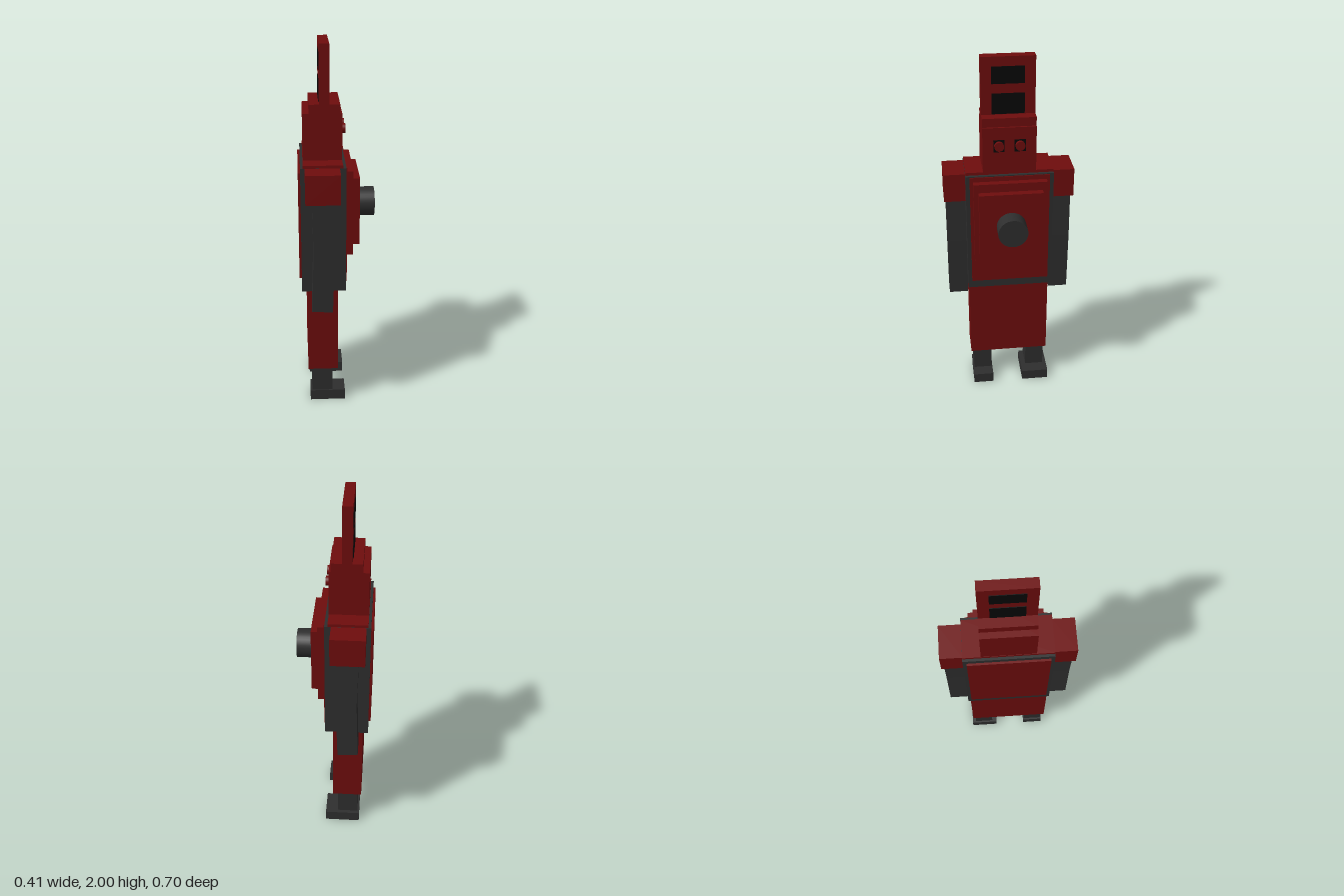
import * as THREE from 'three';

const red = new THREE.MeshStandardMaterial({ color: 0x6e0d0d });
red.name = 'dark red';
const grey = new THREE.MeshStandardMaterial({ color: 0x2e2e2e });
grey.name = 'charcoal';
const black = new THREE.MeshStandardMaterial({ color: 0x080808 });
black.name = 'black';

export function createModel() {
  const model = new THREE.Group();
  model.name = 'robot';

  const add = (name, geometry, material) => {
    const mesh = new THREE.Mesh(geometry, material);
    mesh.name = name;
    model.add(mesh);
    return mesh;
  };
  // Box given by its extents on each axis
  const box = (name, material, x0, x1, y0, y1, z0, z1) => {
    const mesh = add(name, new THREE.BoxGeometry(x1 - x0, y1 - y0, z1 - z0), material);
    mesh.position.set((x0 + x1) / 2, (y0 + y1) / 2, (z0 + z1) / 2);
    return mesh;
  };
  // Cylinder lying along x
  const knob = (name, material, radius, x0, x1, y, z) => {
    const mesh = add(name, new THREE.CylinderGeometry(radius, radius, x1 - x0, 32), material);
    mesh.rotation.z = -Math.PI / 2;
    mesh.position.set((x0 + x1) / 2, y, z);
    return mesh;
  };

  // Torso with stepped chest plates; the face looks along +x
  box('torso', grey, -0.194, 0.042, 0.70, 1.39, -0.233, 0.233);
  box('collar', red, -0.18, 0.025, 1.38, 1.405, -0.232, 0.232);
  box('backPanel', red, -0.206, -0.19, 0.77, 1.36, -0.213, 0.213);
  box('frontPanel', red, 0.03, 0.047, 0.745, 1.385, -0.212, 0.212);
  box('chestPlate', red, 0.04, 0.081, 0.895, 1.36, -0.195, 0.195);
  box('chestPlateUpper', red, 0.075, 0.117, 0.945, 1.313, -0.17, 0.17);
  knob('chestKnob', grey, 0.079, 0.11, 0.205, 1.127, 0);

  // Head, cap and crest
  box('head', red, -0.178, 0.025, 1.40, 1.65, -0.14, 0.14);
  box('headCap', red, -0.145, 0.015, 1.65, 1.697, -0.14, 0.14);
  box('crest', red, -0.092, -0.04, 1.69, 2.0, -0.14, 0.14);
  for (const [y0, y1] of [[1.70, 1.81], [1.86, 1.95]]) {
    box('crestWindowFront', black, -0.041, -0.037, y0, y1, -0.085, 0.085);
    box('crestWindowBack', black, -0.095, -0.091, y0, y1, -0.085, 0.085);
  }

  // Skirt
  box('skirt', red, -0.165, 0, 0.21, 0.705, -0.222, 0.226);

  // Arm: square sections swept through shoulder, elbow and hand
  const armShape = new THREE.Shape();
  [[-0.138, 1.25], [-0.143, 0.63], [-0.033, 0.625], [-0.022, 0.97], [-0.028, 1.25], [-0.138, 1.25]]
    .forEach(([x, y], i) => {
      if (i === 0) armShape.moveTo(x, y);
      else armShape.lineTo(x, y);
      if (i === 0) armShape.lineTo(-0.132, 0.97);
    });
  const armGeometry = new THREE.ExtrudeGeometry(armShape, { depth: 0.105, bevelEnabled: false });

  for (const side of [1, -1]) {
    // Mirrored extents in z
    const pair = (name, mat, x0, x1, y0, y1, near, far) =>
      box(name, mat, x0, x1, y0, y1, Math.min(side * near, side * far), Math.max(side * near, side * far));
    pair('shoulder', red, -0.171, 0.008, 1.233, 1.39, 0.23, 0.348);
    const arm = add('arm', armGeometry, grey);
    arm.position.z = side > 0 ? 0.233 : -0.338;
    pair('leg', grey, -0.145, -0.03, 0.03, 0.22, 0.103, 0.209);
    // Eye socket plate and round eye
    pair('eyeSocket', black, 0.023, 0.028, 1.517, 1.583, 0.026, 0.084);
    knob('eye', red, 0.025, 0.02, 0.045, 1.552, side * 0.055);
  }
  box('leftFoot', grey, -0.155, 0.04, 0, 0.06, 0.10, 0.215);
  box('rightFoot', grey, -0.155, 0.042, 0, 0.06, -0.23, -0.076);

  return model;
}
